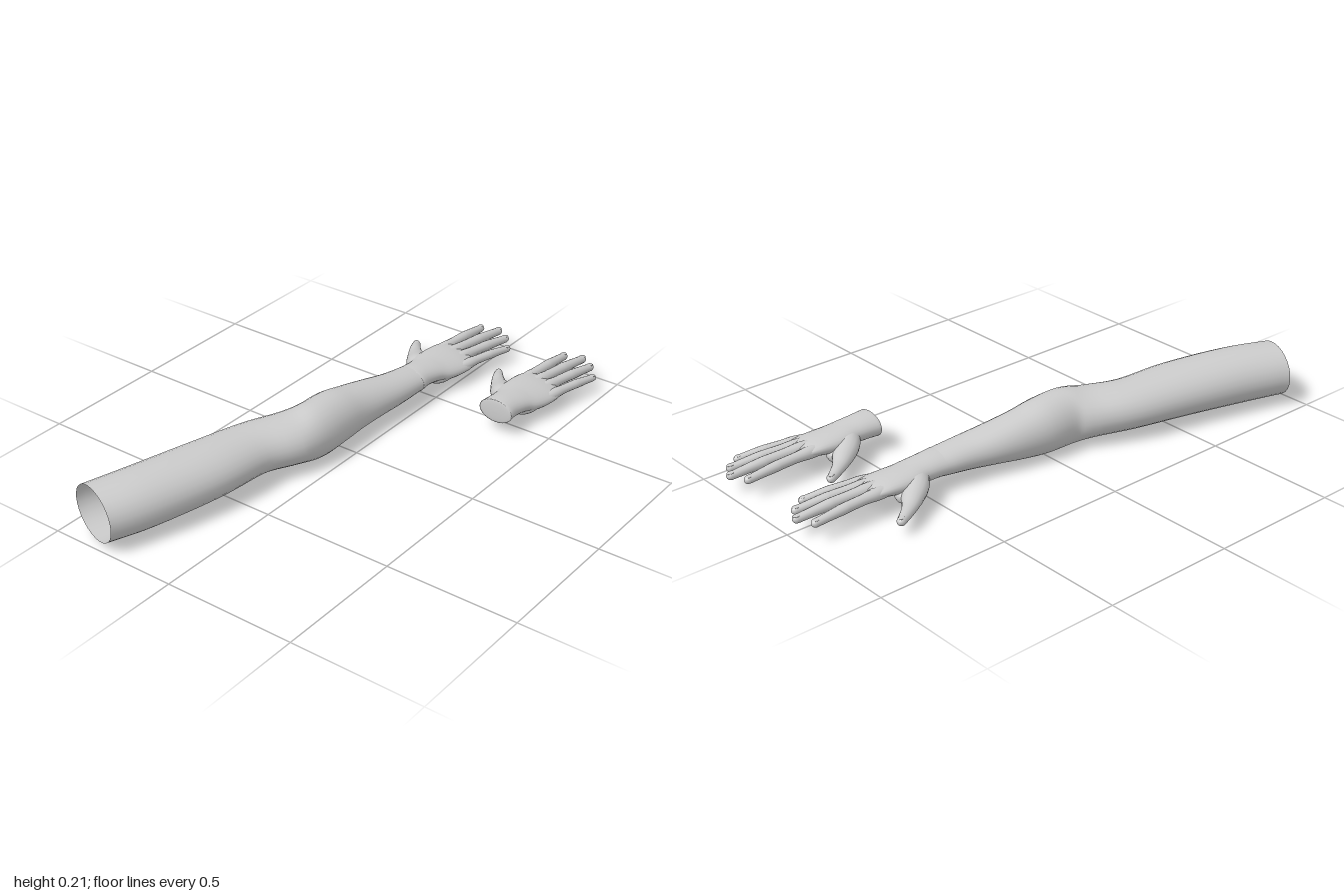
import * as THREE from 'three';

const skin = new THREE.MeshStandardMaterial({ color: 0xcccccc, side: THREE.DoubleSide });
const UP = new THREE.Vector3(0, 1, 0);

// Smooth loft of elliptical rings. Station: [x, y, z, halfWidth, halfHeight, roll].
// capStart / capEnd give the dome depth relative to the ring's smaller half size (0 = open).
function loft(name, stations, { rings = 24, sides = 20, capStart = 0, capEnd = 0 } = {}) {
  const curve = (pick) => new THREE.CatmullRomCurve3(stations.map(pick), false, 'catmullrom', 0.5);
  const path = curve((s) => new THREE.Vector3(s[0], s[1], s[2]));
  const size = curve((s) => new THREE.Vector3(s[3], s[4], s[5] || 0));
  const list = [];
  for (let i = 0; i <= rings; i++) {
    const t = i / rings;
    list.push({ c: path.getPoint(t), s: size.getPoint(t), d: path.getTangent(t).setY(0).normalize() });
  }
  const dome = (end, sign, depth) => {
    const out = [];
    for (let k = 1; k <= 5; k++) {
      const a = (k / 5) * Math.PI / 2;
      const shrink = Math.max(Math.cos(a), 0.001);
      const reach = sign * depth * Math.min(end.s.x, end.s.y) * Math.sin(a);
      out.push({
        c: end.c.clone().addScaledVector(end.d, reach),
        s: new THREE.Vector3(end.s.x * shrink, end.s.y * shrink, end.s.z),
        d: end.d,
      });
    }
    return out;
  };
  const head = capStart ? dome(list[0], -1, capStart).reverse() : [];
  const tail = capEnd ? dome(list[rings], 1, capEnd) : [];
  const all = [...head, ...list, ...tail];

  const pos = [], index = [];
  all.forEach(({ c, s, d }, i) => {
    const flat = new THREE.Vector3(-d.z, 0, d.x);
    const side = flat.clone().multiplyScalar(Math.cos(s.z)).addScaledVector(UP, Math.sin(s.z));
    const up = UP.clone().multiplyScalar(Math.cos(s.z)).addScaledVector(flat, -Math.sin(s.z));
    for (let j = 0; j < sides; j++) {
      const a = (j / sides) * Math.PI * 2;
      const p = c.clone().addScaledVector(side, Math.cos(a) * s.x).addScaledVector(up, Math.sin(a) * s.y);
      pos.push(p.x, p.y, p.z);
      if (i === all.length - 1) continue;
      const a0 = i * sides + j, b0 = i * sides + (j + 1) % sides;
      index.push(a0, a0 + sides, b0, b0, a0 + sides, b0 + sides);
    }
  });
  const geo = new THREE.BufferGeometry();
  geo.setAttribute('position', new THREE.Float32BufferAttribute(pos, 3));
  geo.setIndex(index);
  geo.computeVertexNormals();
  const mesh = new THREE.Mesh(geo, skin);
  mesh.name = name;
  return mesh;
}

function ellipsoid(name, center, radii, yaw = 0, pitch = 0) {
  const mesh = new THREE.Mesh(new THREE.SphereGeometry(1, 16, 12), skin);
  mesh.name = name;
  mesh.position.set(...center);
  mesh.scale.set(...radii);
  mesh.rotation.set(0, yaw, pitch);
  return mesh;
}

function createHand(name) {
  const hand = new THREE.Group();
  hand.name = name;

  // Wrist and palm, little-finger side rolled down
  hand.add(loft('palm', [
    [0.417, 0.097, -0.066, 0.070, 0.046, 0],
    [0.46, 0.097, -0.066, 0.066, 0.044, 0],
    [0.51, 0.094, -0.064, 0.069, 0.042, -0.05],
    [0.56, 0.088, -0.064, 0.082, 0.043, -0.12],
    [0.61, 0.086, -0.057, 0.089, 0.040, -0.17],
    [0.66, 0.086, -0.050, 0.091, 0.034, -0.18],
    [0.70, 0.085, -0.045, 0.087, 0.027, -0.18],
    [0.72, 0.084, -0.043, 0.080, 0.021, -0.17],
  ], { sides: 28, capStart: 0.1, capEnd: 0.5 }));

  // Fingers: root x, y, z then tip x, y, z and thickness
  const fingers = [
    ['indexFinger', 0.63, 0.095, -0.108, 0.972, 0.075, -0.102, 0.0175],
    ['middleFinger', 0.63, 0.096, -0.070, 1.0, 0.072, -0.034, 0.018],
    ['ringFinger', 0.63, 0.087, -0.032, 0.966, 0.069, 0.020, 0.0175],
    ['littleFinger', 0.62, 0.077, 0.008, 0.905, 0.065, 0.067, 0.0155],
  ];
  for (const [label, x0, y0, z0, x1, y1, z1, r] of fingers) {
    const profile = [[0, 1.2], [0.22, 1.32], [0.38, 1.1], [0.56, 1.08], [0.64, 1.1], [0.8, 0.95], [0.95, 0.84]];
    hand.add(loft(label, profile.map(([t, k]) => [
      x0 + (x1 - x0) * t,
      y0 + (y1 - y0) * t + 0.007 * Math.sin(Math.PI * t),
      z0 + (z1 - z0) * t,
      r * k, r * k, 0,
    ]), { sides: 14, capEnd: 1.1 }));
    const yaw = -Math.atan2(z1 - z0, x1 - x0);
    hand.add(ellipsoid(label + 'Nail',
      [x1 - 0.018, y1 + r * 0.8, z1 - (z1 - z0) * 0.05], [0.015, 0.003, r * 0.6], yaw, -0.12));
  }

  // Thumb sweeping away from the palm, with its muscle pad beneath
  hand.add(loft('thumb', [
    [0.51, 0.092, -0.085, 0.030, 0.030, 0],
    [0.565, 0.082, -0.130, 0.045, 0.037, 0],
    [0.615, 0.070, -0.172, 0.038, 0.030, 0],
    [0.65, 0.065, -0.203, 0.028, 0.022, 0],
    [0.685, 0.062, -0.228, 0.0215, 0.019, 0],
    [0.72, 0.057, -0.248, 0.0165, 0.016, 0],
  ], { sides: 16, capEnd: 1.1 }));
  hand.add(ellipsoid('thumbNail', [0.72, 0.071, -0.248], [0.014, 0.003, 0.010], 0.5, -0.1));
  hand.add(ellipsoid('thumbPad', [0.585, 0.062, -0.112], [0.065, 0.037, 0.044], 0.5));
  hand.add(ellipsoid('heelPad', [0.575, 0.064, -0.025], [0.07, 0.027, 0.037], -0.15));
  return hand;
}

export function createModel() {
  const model = new THREE.Group();
  model.name = 'armAndHand';

  // Arm, open at the shoulder end, bent slightly at the elbow
  model.add(loft('arm', [
    [-0.970, 0.118, -0.353, 0.121, 0.098],
    [-0.800, 0.119, -0.298, 0.126, 0.101],
    [-0.555, 0.119, -0.240, 0.127, 0.095],
    [-0.345, 0.116, -0.204, 0.114, 0.087],
    [-0.205, 0.112, -0.148, 0.112, 0.091],
    [-0.115, 0.111, -0.119, 0.099, 0.105],
    [0.000, 0.110, -0.117, 0.098, 0.102],
    [0.100, 0.106, -0.110, 0.090, 0.088],
    [0.200, 0.103, -0.096, 0.084, 0.073],
    [0.310, 0.099, -0.078, 0.075, 0.059],
    [0.425, 0.097, -0.067, 0.069, 0.046],
  ], { rings: 50, sides: 28 }));

  model.add(createHand('attachedHand'));

  // Separate copy of the hand lying in front
  const spare = createHand('separateHand');
  spare.position.z = 0.385;
  model.add(spare);
  return model;
}
